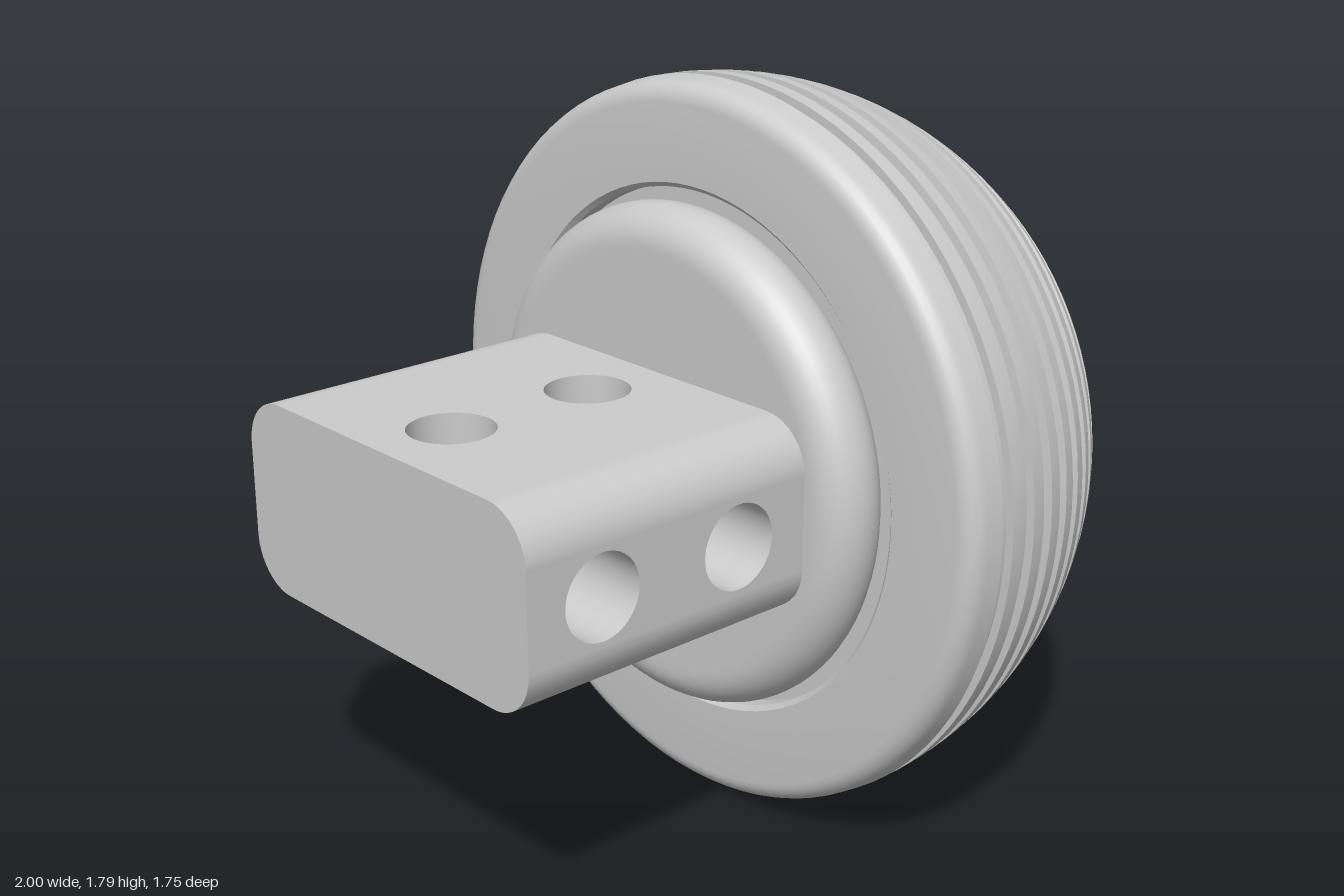
import * as THREE from 'three';
import { toCreasedNormals } from 'three/addons/utils/BufferGeometryUtils.js';

const R = 0.893;            // dome radius
const CENTRE = 0.094;       // dome centre along the axis
const material = new THREE.MeshStandardMaterial({ color: 0xcccccc });
const openMaterial = new THREE.MeshStandardMaterial({ color: 0xcccccc, side: THREE.DoubleSide });

function addMesh(parent, name, geometry, mat = material) {
  const mesh = new THREE.Mesh(geometry, mat);
  mesh.name = name;
  parent.add(mesh);
}

// Turned part whose axis lies along +x; profile points are [radius, x]
function turned(profile) {
  const points = profile.map(([r, x]) => new THREE.Vector2(r, x));
  const g = new THREE.LatheGeometry(points, 96).rotateZ(-Math.PI / 2);
  return toCreasedNormals(g, 0.6);
}

// Points of an arc in a profile, angles in degrees
function arc(cr, cx, radius, from, to, steps) {
  return Array.from({ length: steps + 1 }, (_, i) => {
    const a = THREE.MathUtils.degToRad(from + (to - from) * i / steps);
    return [cr + radius * Math.cos(a), cx + radius * Math.sin(a)];
  });
}

// Dome: recessed back, rounded rim, then concentric square grooves
function domeGeometry() {
  const profile = [[0.4, 0.05], [0.64, 0.05], [0.64, 0.012], [0.652, 0],
    ...arc(R - 0.055, 0.05, 0.05, -90, 0, 6)];
  const pitch = 5, half = 1.2, depth = 0.02;
  for (let k = 17; k >= 0; k--) {
    const mid = 90 - (4.2 + pitch * k);
    profile.push(
      ...arc(0, CENTRE, R, mid - pitch + half, mid - half, 2).slice(k === 17 ? 2 : 0),
      ...arc(0, CENTRE, R - depth, mid - half, mid + half, 1));
  }
  profile.push(...arc(0, CENTRE, R, 87, 90, 2));
  profile[profile.length - 1][0] = 0;
  return turned(profile);
}

// Rounded disc between stem and dome
function collarGeometry() {
  return turned([[0, -0.12], [0.51, -0.12],
    ...arc(0.525, -0.03, 0.09, -90, 40, 12), [0.57, 0.055]]);
}

// Stem with rounded long edges and two pairs of crossing holes
function createStem() {
  const stem = new THREE.Group();
  stem.name = 'stem';
  const x0 = -0.9, x1 = -0.1, mid = (x0 + x1) / 2;
  const W = 0.5, H = 0.2325, c = 0.12, r = 0.1;
  const holes = [-0.702, -0.317];

  for (let k = 0; k < 4; k++) {
    const [out, across] = k % 2 ? [H, W] : [W, H];
    const turn = k * Math.PI / 2;
    const flat = across - c;

    // Flat side with its two hole openings
    const shape = new THREE.Shape([[x0, -flat], [x1, -flat], [x1, flat], [x0, flat]]
      .map(([x, y]) => new THREE.Vector2(x, y)));
    for (const x of holes) {
      shape.holes.push(new THREE.Path().absarc(x, 0, r, 0, Math.PI * 2, true));
    }
    addMesh(stem, 'stemSide',
      new THREE.ShapeGeometry(shape, 24).translate(0, 0, out).rotateX(turn));

    // Rounded long edge
    addMesh(stem, 'stemEdge',
      new THREE.CylinderGeometry(c, c, x1 - x0, 8, 1, true, 0, Math.PI / 2)
        .rotateZ(Math.PI / 2).translate(mid, flat, out - c).rotateX(turn));

    // Hole walls, mitred where the crossing holes meet
    for (const x of holes) {
      const g = new THREE.CylinderGeometry(r, r, 1, 48, 1, true).rotateX(Math.PI / 2);
      const p = g.attributes.position;
      for (let i = 0; i < p.count; i++) {
        p.setZ(i, p.getZ(i) > 0 ? out : Math.abs(p.getY(i)));
      }
      addMesh(stem, 'holeWall', g.translate(x, 0, 0).rotateX(turn), openMaterial);
    }
  }

  // End face
  const end = new THREE.Shape();
  end.absarc(W - c, H - c, c, 0, Math.PI / 2);
  end.absarc(c - W, H - c, c, Math.PI / 2, Math.PI);
  end.absarc(c - W, c - H, c, Math.PI, Math.PI * 1.5);
  end.absarc(W - c, c - H, c, Math.PI * 1.5, Math.PI * 2);
  addMesh(stem, 'stemEnd',
    new THREE.ShapeGeometry(end, 8).rotateY(-Math.PI / 2).translate(x0, 0, 0));
  return stem;
}

export function createModel() {
  const model = new THREE.Group();
  model.name = 'ribbedKnob';
  const body = new THREE.Group();
  body.name = 'knob';
  body.rotation.y = THREE.MathUtils.degToRad(20);
  body.position.set(0.018, R, 0.051);
  addMesh(body, 'ribbedDome', domeGeometry());
  addMesh(body, 'collar', collarGeometry());
  body.add(createStem());
  model.add(body);
  return model;
}
